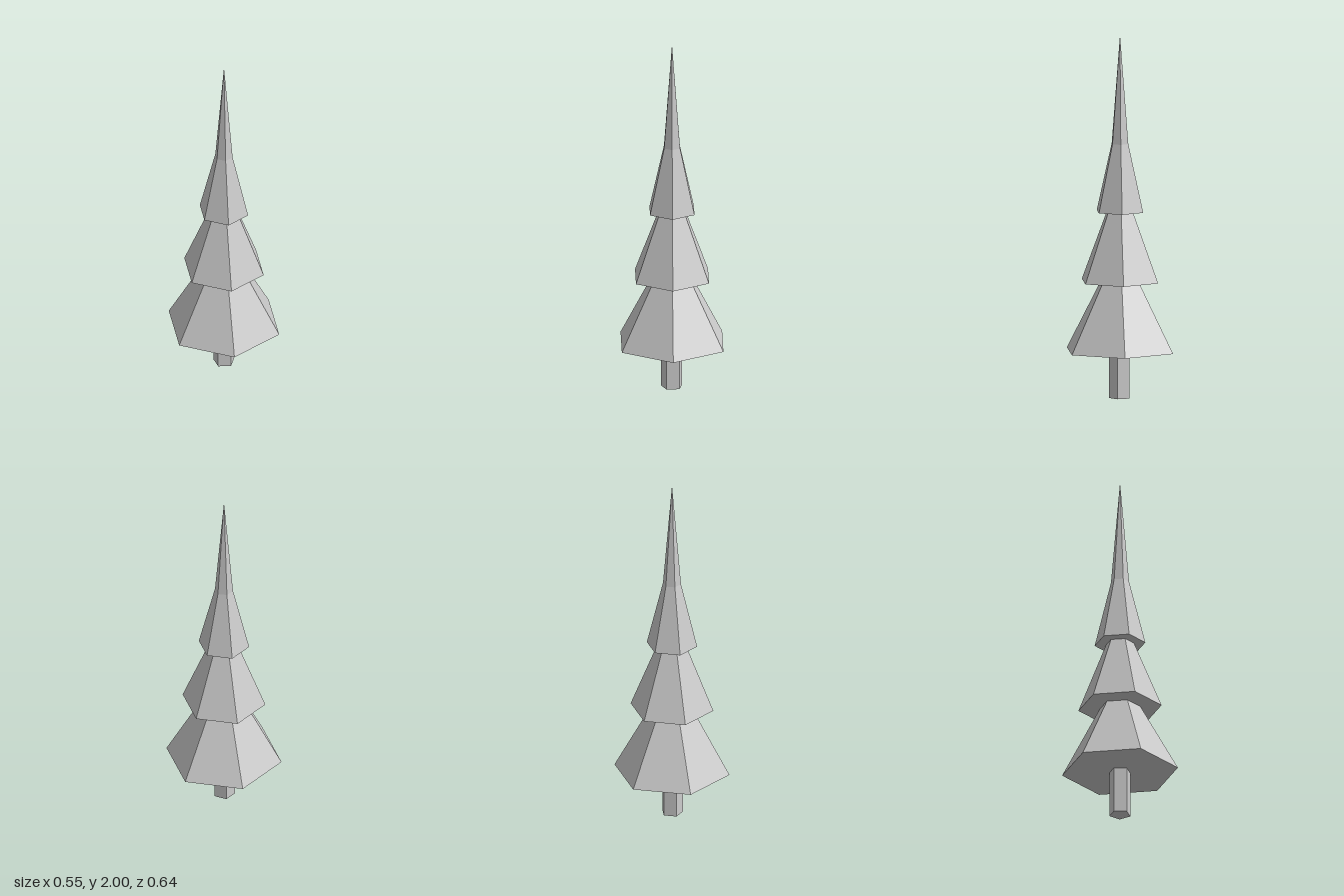
import * as THREE from 'three';

export function createModel() {
  const tree = new THREE.Group();
  tree.name = 'pineTree';

  const paleGrey = new THREE.MeshStandardMaterial({ color: 0xcccccc, flatShading: true });
  paleGrey.name = 'paleGrey';

  // Five-sided trunk with one corner towards +x
  const trunkTop = 0.26;
  const trunkGeometry = new THREE.CylinderGeometry(0.06, 0.06, trunkTop, 5);
  trunkGeometry.rotateY(Math.PI / 2).translate(0, trunkTop / 2, 0);
  const trunk = new THREE.Mesh(trunkGeometry, paleGrey);
  trunk.name = 'trunk';
  tree.add(trunk);

  // Six-sided foliage tiers: flat underside, then sloping sides [radius, height]
  const tiers = {
    lowerFoliage: [[0, 0.26], [0.32, 0.26], [0.113, 0.643]],
    middleFoliage: [[0, 0.643], [0.23, 0.643], [0.078, 1.027]],
    upperFoliage: [[0, 1.027], [0.14, 1.027], [0.05, 1.4]],
    treeTop: [[0.05, 1.4], [0, 2]],
  };
  for (const [name, profile] of Object.entries(tiers)) {
    const points = profile.map(([r, y]) => new THREE.Vector2(r, y));
    const tier = new THREE.Mesh(new THREE.LatheGeometry(points, 6), paleGrey);
    tier.name = name;
    tree.add(tier);
  }

  return tree;
}
